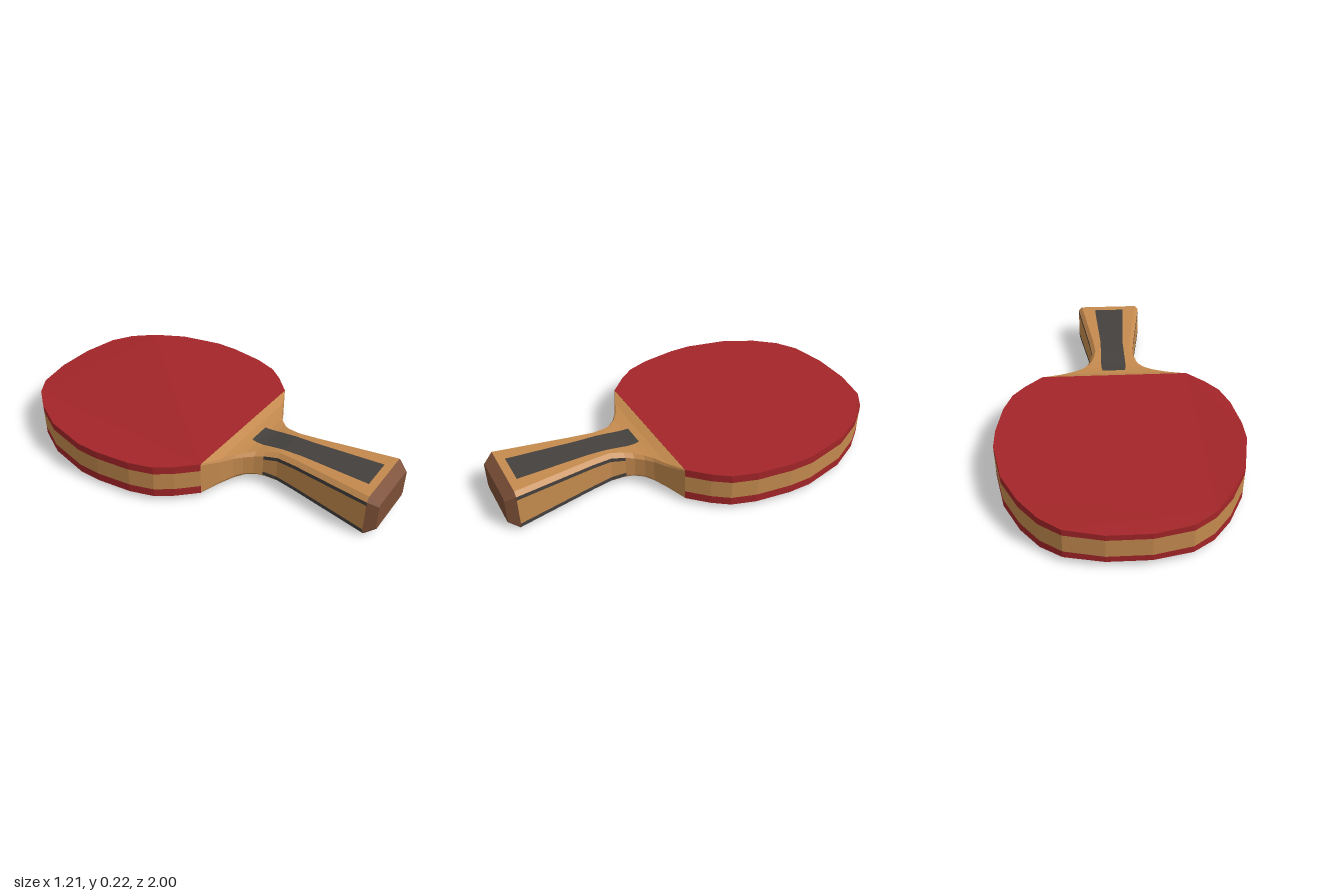
import * as THREE from 'three';

const material = (name, color) => {
  const m = new THREE.MeshStandardMaterial({ color });
  m.name = name;
  return m;
};
const MID = 0.113; // height of the bat's middle plane

// Half outline of the blade as [x, z], from the far end to the handle side
const OUTLINE = [[0.1, -1], [0.28, -0.96], [0.38, -0.89], [0.47, -0.78], [0.555, -0.62],
  [0.605, -0.4], [0.605, -0.28], [0.58, -0.1], [0.54, 0.02], [0.48, 0.1], [0.39, 0.19]];

// One flat layer of the blade; it thins slightly towards the far end
function bladeLayer(name, y0, y1, inset, mat) {
  const points = [...OUTLINE.map(([x, z]) => [x, z]), ...OUTLINE.map(([x, z]) => [-x, z]).reverse()];
  const shape = new THREE.Shape(points.map(([x, z]) =>
    new THREE.Vector2(x * (1 - inset), -(z < 0 ? z * (1 - inset) : z))));
  const geo = new THREE.ExtrudeGeometry(shape, { depth: y1 - y0, bevelEnabled: false });
  geo.rotateX(-Math.PI / 2).translate(0, y0, 0);
  const p = geo.attributes.position;
  for (let i = 0; i < p.count; i++) {
    const d = p.getY(i) - MID;
    const thin = Math.max(0, -0.85 - p.getZ(i)) * 0.08;
    if (Math.abs(d) > 0.08) p.setY(i, p.getY(i) - Math.sign(d) * thin);
  }
  geo.computeVertexNormals();
  const mesh = new THREE.Mesh(geo, mat);
  mesh.name = name;
  return mesh;
}

// Handle stations: z, half width, half height, corner chamfer, half width of the grip strip
const STATIONS = [
  [0.19, 0.39, 0.089, 0.006, 0.07],
  [0.235, 0.3, 0.074, 0.012, 0.07],
  [0.27, 0.228, 0.07, 0.016, 0.062],
  [0.3, 0.188, 0.068, 0.018, 0.066],
  [0.34, 0.153, 0.071, 0.02, 0.068],
  [0.38, 0.132, 0.078, 0.02, 0.067],
  [0.45, 0.116, 0.088, 0.02, 0.065],
  [0.55, 0.126, 0.094, 0.02, 0.064],
  [0.91, 0.179, 0.11, 0.02, 0.085],
  [0.95, 0.185, 0.112, 0.02, 0.085],
  [1, 0.152, 0.075, 0.012, 0.07],
];

// Twelve-point section, counter-clockwise seen from the handle end
function section([z, w, h, c, s]) {
  const b = h - c - 0.02; // lower edge of the side stripe
  const q = [[w, b], [w, h - c], [w - c, h], [s, h]];
  const flip = (sx, sy) => q.map(([x, y]) => [x * sx, y * sy]);
  return [...flip(1, 1), ...flip(-1, 1).reverse(), ...flip(-1, -1), ...flip(1, -1).reverse()]
    .map(([x, y]) => [x, y + MID, z]);
}

function buildHandle(mats) {
  const faces = { wood: [], grip: [], stripe: [], cap: [] };
  const rings = STATIONS.map(section);
  const n = rings[0].length;
  for (let k = 0; k < rings.length - 1; k++) {
    const z0 = STATIONS[k][0], z1 = STATIONS[k + 1][0];
    for (let i = 0; i < n; i++) {
      const j = (i + 1) % n;
      let part = 'wood';
      if (z0 >= 0.95) part = 'cap';
      else if ((i === 3 || i === 11) && z0 >= 0.27 && z1 <= 0.91) part = 'grip';
      else if ([0, 6, 8, 14].includes(i) && z0 >= 0.38) part = 'stripe';
      const [a, b, c, d] = [rings[k][i], rings[k][j], rings[k + 1][j], rings[k + 1][i]];
      faces[part].push(...a, ...b, ...d, ...b, ...c, ...d);
    }
  }
  // Flat butt end
  const end = rings[rings.length - 1];
  for (let i = 1; i < n - 1; i++) faces.cap.push(...end[0], ...end[i], ...end[i + 1]);

  const group = new THREE.Group();
  group.name = 'handle';
  const parts = [['handleWood', 'wood', mats.wood], ['gripStrips', 'grip', mats.grey],
    ['sideStripes', 'stripe', mats.grey], ['handleEnd', 'cap', mats.brown]];
  for (const [name, key, mat] of parts) {
    const geo = new THREE.BufferGeometry();
    geo.setAttribute('position', new THREE.Float32BufferAttribute(faces[key], 3));
    geo.computeVertexNormals();
    const mesh = new THREE.Mesh(geo, mat);
    mesh.name = name;
    group.add(mesh);
  }
  return group;
}

export function createModel() {
  const mats = {
    wood: material('wood', 0xc48a4e),
    red: material('red rubber', 0xa32528),
    grey: material('dark grey', 0x44413e),
    brown: material('brown', 0x7c4f37),
  };
  const model = new THREE.Group();
  model.name = 'tableTennisBat';
  // Blade: wooden core between two rubber sheets
  model.add(
    bladeLayer('lowerRubber', 0.025, 0.068, 0, mats.red),
    bladeLayer('woodCore', 0.068, 0.162, 0, mats.wood),
    bladeLayer('upperRubber', 0.162, 0.203, 0, mats.red),
    buildHandle(mats),
  );
  return model;
}
